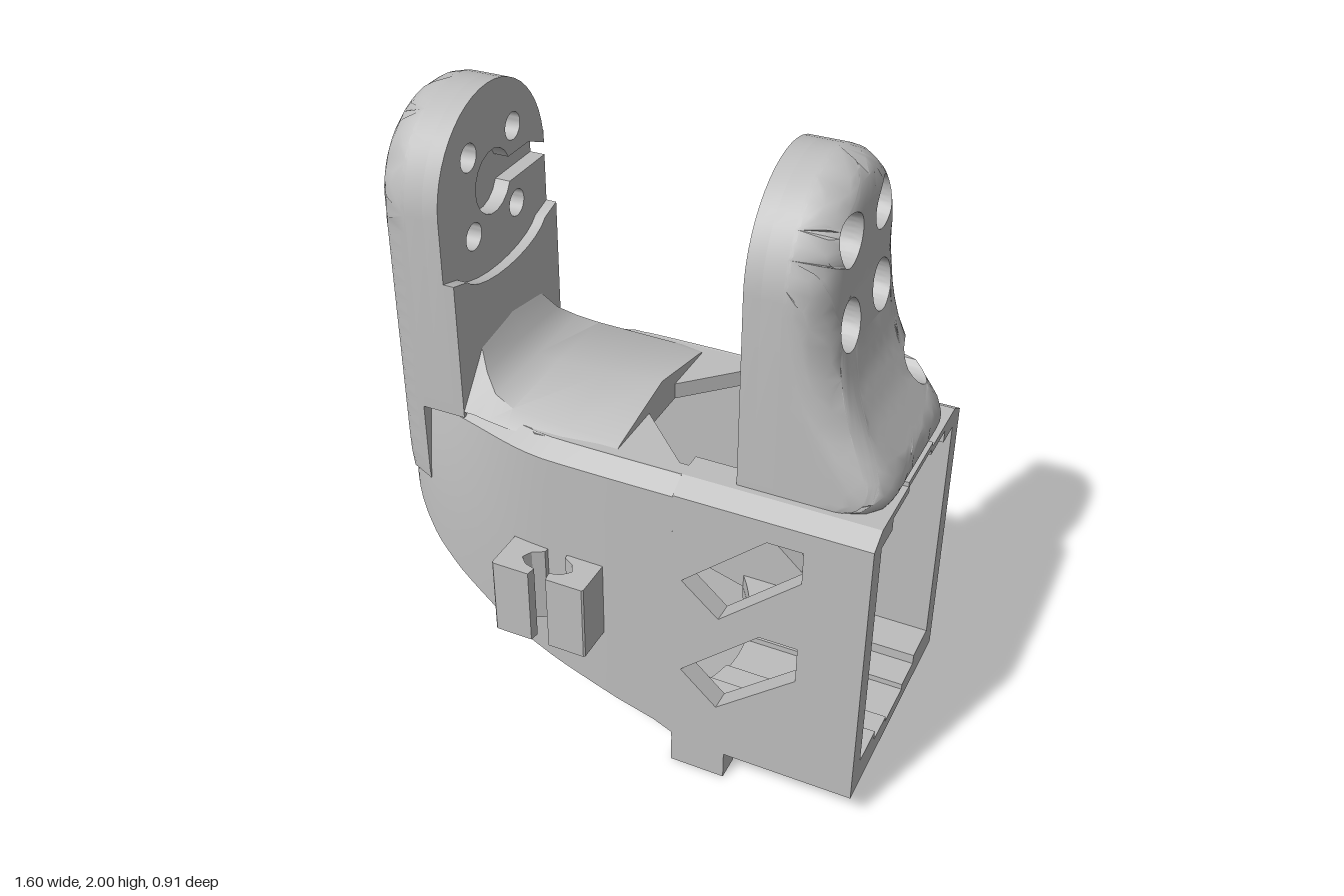
import * as THREE from 'three';
import { toCreasedNormals } from 'three/addons/utils/BufferGeometryUtils.js';

const ZC = -0.06; // symmetry plane of the bracket
const R = 0.305, YC = 1.695; // arm half width and centre of its round head
const grey = new THREE.MeshStandardMaterial({ color: 0xbdbdbd, side: THREE.DoubleSide });
grey.name = 'light grey plastic';

const V2 = (p) => new THREE.Vector2(p[0], p[1]);
const polygon = (pts) => new THREE.Shape(pts.map(V2));
const circle = (x, y, r) => new THREE.Path().absarc(x, y, r, 0, Math.PI * 2);
const extrude = (shape, depth) => new THREE.ExtrudeGeometry(shape, { depth, bevelEnabled: false, curveSegments: 14 });

function part(parent, name, geometry, crease = 0.5) {
  const mesh = new THREE.Mesh(toCreasedNormals(geometry, crease), grey);
  mesh.name = name;
  parent.add(mesh);
  return mesh;
}

// Piecewise linear lookup in a list of [key, value]
function lookup(table, k) {
  for (let i = 1; i < table.length; i++) {
    const [a, va] = table[i - 1], [b, vb] = table[i];
    if (k <= b) return va + (vb - va) * THREE.MathUtils.clamp((k - a) / (b - a), 0, 1);
  }
  return table[table.length - 1][1];
}

// Surface through rows of points
function loft(rows) {
  const pos = [], idx = [], n = rows[0].length;
  rows.forEach((row) => row.forEach((p) => pos.push(...p)));
  for (let i = 0; i < rows.length - 1; i++) {
    for (let j = 0; j < n - 1; j++) {
      const a = i * n + j, c = a + n;
      idx.push(a, a + 1, c, a + 1, c + 1, c);
    }
  }
  const g = new THREE.BufferGeometry();
  g.setAttribute('position', new THREE.Float32BufferAttribute(pos, 3));
  g.setIndex(idx);
  return g;
}

// Plan shape (x, z about the symmetry plane) raised from y0 to y1
const slab = (shape, y0, y1) => extrude(shape, y1 - y0).rotateX(-Math.PI / 2).translate(0, y0, ZC);

// Cross-section (z, y) swept along x
const sweepX = (pts, x0, x1) => extrude(polygon(pts.map(([z, y]) => [-z, y])), x1 - x0).rotateY(Math.PI / 2).translate(x0, 0, 0);

// Halve long edges until a geometry is fine enough to bend
function subdivide(geometry, max) {
  const src = geometry.getAttribute('position'), out = [], stack = [];
  for (let i = 0; i < src.count; i += 3) stack.push([0, 1, 2].map((k) => new THREE.Vector3().fromBufferAttribute(src, i + k)));
  while (stack.length) {
    const t = stack.pop();
    const len = [0, 1, 2].map((k) => t[k].distanceTo(t[(k + 1) % 3]));
    const k = len.indexOf(Math.max(...len));
    if (len[k] < max) { t.forEach((v) => out.push(v.x, v.y, v.z)); continue; }
    const a = t[k], b = t[(k + 1) % 3], c = t[(k + 2) % 3];
    const m = a.clone().add(b).multiplyScalar(0.5);
    stack.push([a, m, c], [m, b, c]);
  }
  const g = new THREE.BufferGeometry();
  g.setAttribute('position', new THREE.Float32BufferAttribute(out, 3));
  return g;
}

// Arm outline with round head; notches [cx, cy, r, halfHeight] open to one edge
function armShape(bottom, side, notches, holeRadius) {
  const pts = [[-R, bottom], [R, bottom]];
  for (const [cx, cy, r, h] of notches) {
    const a = Math.asin(h / r);
    pts.push([R, cy - h]);
    for (let i = 0; i <= 16; i++) {
      const t = -a - (i / 16) * (Math.PI * 2 - 2 * a);
      pts.push([cx + r * Math.cos(t), cy + r * Math.sin(t)]);
    }
    pts.push([R, cy + h]);
  }
  for (let i = 0; i <= 24; i++) {
    const t = (i / 24) * Math.PI;
    pts.push([R * Math.cos(t), YC + R * Math.sin(t)]);
  }
  const shape = polygon(pts.map(([x, y]) => [x * side, y]));
  for (const x of [-0.125, 0.125]) for (const y of [-0.125, 0.125]) shape.holes.push(circle(x, YC + y, holeRadius));
  return shape;
}

// Arm in three layers: recessed inner face, bolt web, rounded counterbored shell
function arm(name, side, bottom, shellBottom, notches, reach) {
  const g = new THREE.Group();
  g.name = name;
  part(g, 'recessedInnerFace', extrude(armShape(bottom, side, [...notches, [0, YC, 0.1, 0.04]], 0.043), 0.05));
  part(g, 'boltWeb', extrude(armShape(bottom, side, notches, 0.043), 0.06).translate(0, 0, 0.05));
  const shell = subdivide(extrude(armShape(shellBottom, side, notches, 0.075), 0.12), 0.06);
  const p = shell.getAttribute('position'), r = 0.115;
  for (let i = 0; i < p.count; i++) {
    const x = p.getX(i), y = p.getY(i);
    const d = THREE.MathUtils.clamp(R - (y > YC ? Math.hypot(x, y - YC) : Math.abs(x)), 0, r);
    const outer = lookup(reach, y) - (r - Math.sqrt(r * r - (r - d) ** 2));
    p.setZ(i, 0.11 + (p.getZ(i) / 0.12) * (outer - 0.11));
  }
  part(g, 'roundedShell', shell, 0.7);
  return g;
}

// Curved hull wall: rounded nose outside, V-shaped pocket inside, open below
function hullWall() {
  const belly = [[-0.8, 0.8], [-0.77, 0.72], [-0.73, 0.64], [-0.66, 0.555], [-0.57, 0.48], [-0.39, 0.355], [-0.2, 0.265], [0, 0.19], [0.17, 0.14], [0.2, 0.12]];
  const outer = [[0.2, 0.392], [-0.05, 0.392], [-0.28, 0.387], [-0.45, 0.37], [-0.6, 0.342], [-0.7, 0.305], [-0.77, 0.25], [-0.798, 0.15], [-0.8, 0]];
  const inner = [[0.2, 0.325], [-0.05, 0.325], [-0.28, 0.325], [-0.4, 0.235], [-0.5, 0.155], [-0.58, 0.095], [-0.64, 0.05], [-0.68, 0.02], [-0.7, 0]];
  const curve = new THREE.CatmullRomCurve3(outer.map(([x, h]) => new THREE.Vector3(x, 0, h)));
  const rows = [], steps = 32;
  for (let i = -steps; i <= steps; i++) {
    const t = 1 - Math.abs(i) / steps, s = i < 0 ? 1 : -1;
    const o = curve.getPoint(t);
    const xi = lookup(inner.map((p, k) => [k / 8, p[0]]), t), hi = lookup(inner.map((p, k) => [k / 8, p[1]]), t);
    const yo = lookup(belly, o.x), yi = lookup(belly, xi);
    const lean = 0.05 * THREE.MathUtils.smoothstep(-o.x, 0.2, 0.6);
    const at = (x, h, y) => [x, y, ZC + s * Math.max(h, 0)];
    const row = [at(xi, hi, 1.083), at(xi, hi, yi), at(o.x, o.z, yo)];
    for (const f of [0.3, 0.6, 0.85, 1]) row.push(at(o.x, o.z - lean * f * f, yo + (1.045 - yo) * f));
    row.push(at(Math.max(o.x, -0.75), o.z - lean - 0.06, 1.085), at(xi, hi, 1.083));
    rows.push(row);
  }
  return loft(rows);
}

export function createModel() {
  const model = new THREE.Group();
  model.name = 'servoBracket';

  part(model, 'hullWall', hullWall(), 0.6);

  // Box sides with slanted windows
  for (const z of [ZC + 0.325, ZC - 0.392]) {
    const side = polygon([[0.2, 0.1], [0.8, 0.1], [0.8, 1.05], [0.2, 1.05]]);
    side.holes.push(polygon([[0.23, 0.75], [0.49, 0.98], [0.6, 0.98], [0.6, 0.87], [0.35, 0.645]]));
    side.holes.push(polygon([[0.23, 0.4], [0.48, 0.625], [0.6, 0.625], [0.6, 0.5], [0.35, 0.29]]));
    part(model, 'boxSide', extrude(side, 0.067).translate(0, 0, z));
  }

  // Floor with arched edge, stepped ridges and two drain holes
  const floorStrip = (z0, z1, y0, y1) => {
    const pts = [[0.8, z0], [0.8, z1]];
    for (let i = 0; i <= 12; i++) {
      const z = z1 + (z0 - z1) * (i / 12);
      pts.push([0.26 - 0.09 * (z / 0.28) ** 2, z]);
    }
    const shape = polygon(pts);
    for (const z of [-0.24, 0.24]) if (z > z0 && z < z1) shape.holes.push(circle(0.56, z, 0.03));
    return slab(shape, y0, y1);
  };
  part(model, 'floorPlate', floorStrip(-0.33, 0.33, 0.1, 0.145));
  for (const s of [-1, 1]) {
    const ridge = (a, b, y) => part(model, 'floorRidge', floorStrip(Math.min(s * a, s * b), Math.max(s * a, s * b), 0.145, y));
    ridge(0.19, 0.327, 0.2);
    ridge(0.08, 0.19, 0.165);
    // Chamfered eaves and stepped ceiling
    const eave = [[0.392, 1], [0.392, 1.05], [0.33, 1.085], [0.235, 1.085], [0.235, 1.02], [0.325, 1.02]];
    part(model, 'eave', sweepX(eave.map(([z, y]) => [ZC + s * z, y]), 0.2, 0.8));
    part(model, 'ceilingStep', sweepX([[0.1, 1.06], [0.24, 1.06], [0.24, 1.085], [0.1, 1.085]].map(([z, y]) => [ZC + s * z, y]), 0.36, 0.8));
  }
  part(model, 'ceilingCentre', new THREE.BoxGeometry(0.44, 0.02, 0.22).translate(0.58, 1.09, ZC));

  // Roof over the hull with an opening
  const roof = polygon([[0.37, -0.33], [0.37, 0.33], [-0.28, 0.33], [-0.72, 0.02], [-0.72, -0.02], [-0.28, -0.33]]);
  roof.holes.push(polygon([[-0.02, -0.09], [0.17, -0.28], [0.36, -0.28], [0.36, 0.28], [0.17, 0.28], [-0.02, 0.09]]));
  part(model, 'roof', slab(roof, 1.03, 1.083));

  // Saddle that sweeps from the roof up to the left arm
  const stations = [[-0.57, 1.32, 1.28, 0.16, 0.3], [-0.53, 1.25, 1.22, 0.19, 0.31], [-0.5, 1.18, 1.17, 0.22, 0.31], [-0.45, 1.13, 1.13, 0.26, 0.32],
    [-0.38, 1.12, 1.11, 0.28, 0.33], [-0.2, 1.13, 1.1, 0.29, 0.33], [-0.02, 1.145, 1.09, 0.28, 0.33], [-0.02, 1.07, 1.07, 0.28, 0.33]];
  part(model, 'saddle', loft(stations.map(([x, yc, ye, ht, hb]) =>
    [[-hb, 1.07], [-ht, ye], [0, yc], [ht, ye], [hb, 1.07]].map(([z, y]) => [x, y, ZC + z]))), 0.7);

  // Left arm with a thicker lower pad
  const left = arm('leftArm', -1, 1.05, 0.78, [], [[0.78, 0.222], [0.85, 0.23], [2, 0.23]]);
  const pad = [[-R, 1.05], [R, 1.05], [R, 1.5]];
  for (let i = 1; i < 12; i++) pad.push([0.24 * Math.cos((i / 12) * Math.PI), 1.5 - 0.08 * Math.sin((i / 12) * Math.PI)]);
  pad.push([-R, 1.5]);
  part(left, 'lowerPad', extrude(polygon(pad), 0.035).translate(0, 0, -0.035));
  left.rotation.y = -Math.PI / 2;
  left.position.set(-0.57, 0, ZC + 0.005);

  // Right arm flares out over the box and has a cable keyhole
  const flare = [[1.07, 0.39], [1.09, 0.42], [1.12, 0.435], [1.17, 0.42], [1.22, 0.385], [1.3, 0.33], [1.4, 0.28], [1.5, 0.25], [1.65, 0.23], [2, 0.23]];
  const right = arm('rightArm', 1, 1.07, 1.07, [[0.22, 1.295, 0.065, 0.035]], flare);
  right.rotation.y = Math.PI / 2;
  right.position.set(0.36, 0, ZC + 0.005);
  model.add(left, right);

  // Pair of facing cable hooks on the front
  const hook = [[0.155, 0.29], [0.155, 0.455], [0.15, 0.46], [0.03, 0.46], [0.025, 0.43], [0.06, 0.42], [0.085, 0.395], [0.07, 0.365], [0.035, 0.345], [0.03, 0.29]];
  for (const s of [-1, 1]) {
    const g = extrude(polygon(hook.map(([x, z]) => [-0.185 + s * x, -z])), 0.26).rotateX(-Math.PI / 2).translate(0, 0.45, 0);
    part(model, 'cableHook', g);
  }

  // Small foot under the front edge
  part(model, 'foot', sweepX([[0.33, 0], [0.25, 0], [0.22, 0.05], [0.19, 0.11], [0.33, 0.11]], 0.2, 0.38));
  return model;
}
